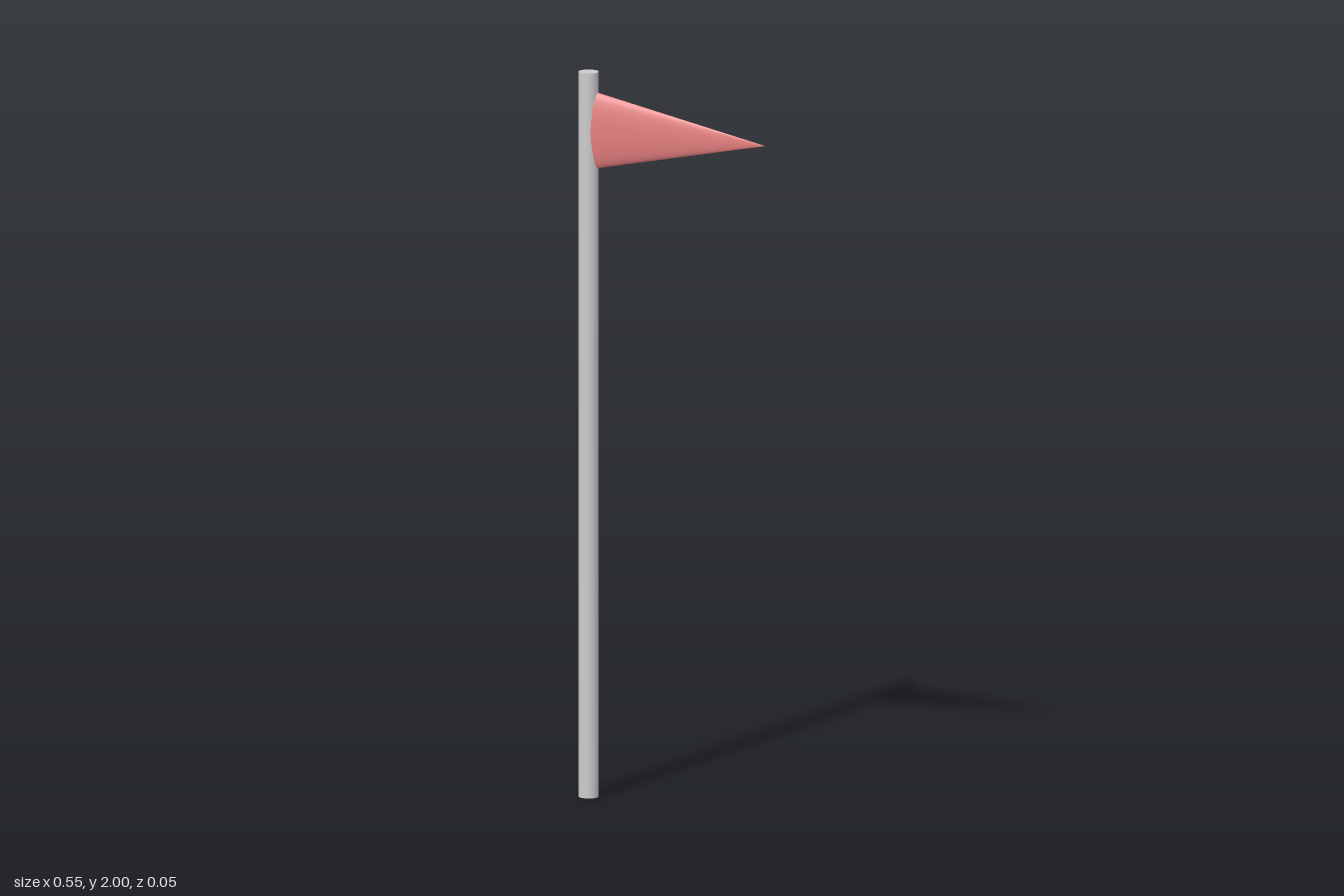
import * as THREE from 'three';

export function createModel() {
  const model = new THREE.Group();
  model.name = 'pennantOnPole';
  const poleX = -0.253;

  // Round pole
  const pole = new THREE.Mesh(
    new THREE.CylinderGeometry(0.027, 0.027, 2, 32),
    new THREE.MeshStandardMaterial({ color: 0xcccccc })
  );
  pole.name = 'pole';
  pole.position.set(poleX, 1, 0);
  model.add(pole);

  // Flattened cone pennant, its base hidden inside the pole
  const length = 0.27 - poleX;
  const geometry = new THREE.ConeGeometry(1, length, 32)
    .rotateZ(-Math.PI / 2)
    .scale(1, 0.11, 0.0225);
  const pennant = new THREE.Mesh(
    geometry,
    new THREE.MeshStandardMaterial({ color: 0xe57f7f })
  );
  pennant.name = 'pennant';
  pennant.position.set(poleX + length / 2, 1.84, 0);
  model.add(pennant);

  return model;
}
